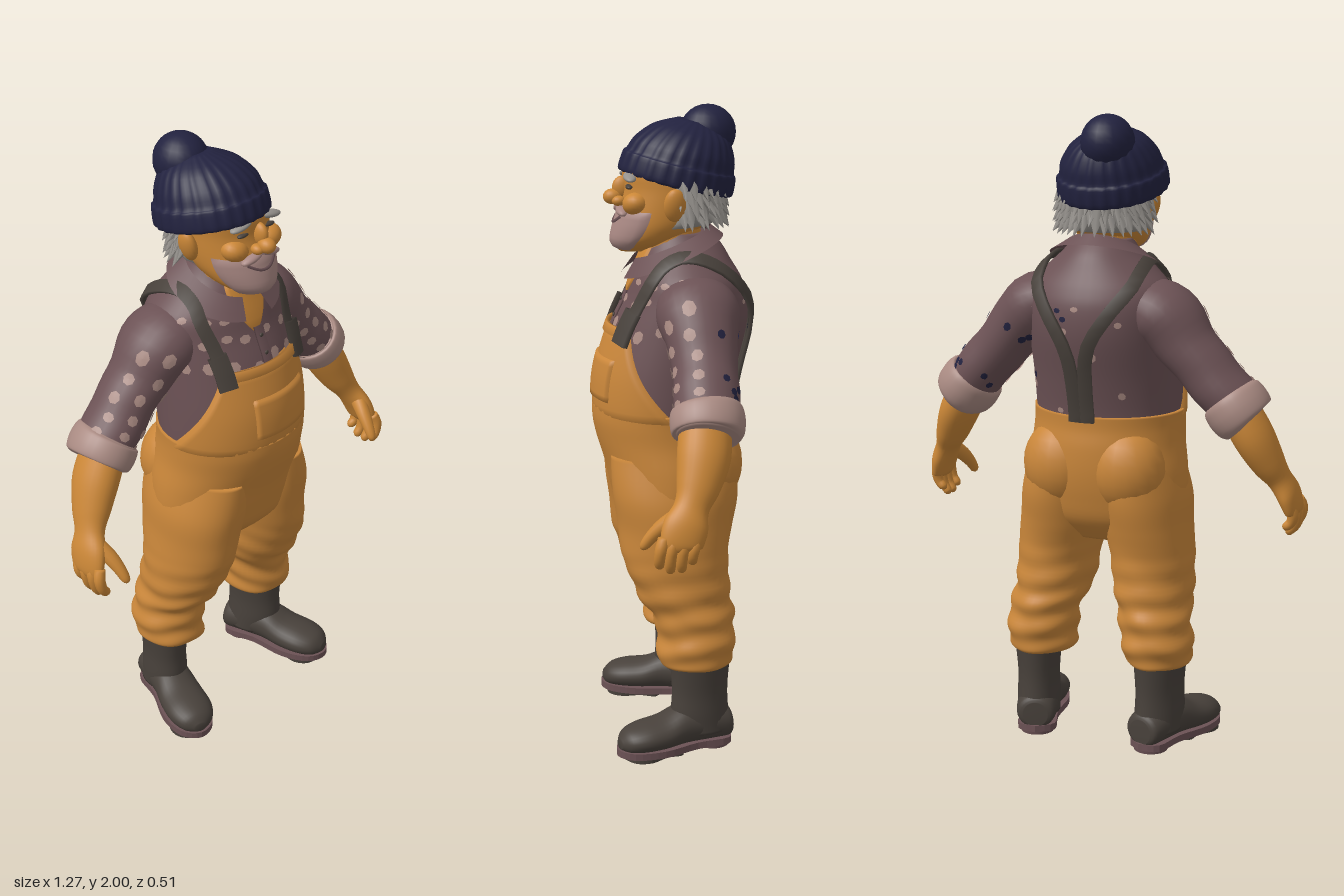
import * as THREE from 'three';
import { mergeGeometries } from 'three/addons/utils/BufferGeometryUtils.js';

const V = (x, y, z) => new THREE.Vector3(x, y, z);
const mat = (name, color, side = THREE.FrontSide) => new THREE.MeshStandardMaterial({ name, color, side });

// Surface from a function fn(u, v), optionally closed around u
function grid(fn, nu, nv, wrap) {
  const pos = [], idx = [], cols = wrap ? nu : nu + 1;
  for (let j = 0; j <= nv; j++) for (let i = 0; i < cols; i++) pos.push(...fn(i / nu, j / nv).toArray());
  for (let j = 0; j < nv; j++) for (let i = 0; i < nu; i++) {
    const k = (i + 1) % cols, a = j * cols + i, b = j * cols + k;
    idx.push(a, b, b + cols, a, b + cols, a + cols);
  }
  const g = new THREE.BufferGeometry();
  g.setAttribute('position', new THREE.Float32BufferAttribute(pos, 3));
  g.setIndex(idx);
  g.computeVertexNormals();
  return g;
}

// Smooth capped body through elliptical sections [x, y, z, radiusX, radiusZ]
function loft(secs, { up = false, seg = 28, steps = 5, wr = () => 0 } = {}) {
  const n = secs.length - 1;
  const S = v => {
    const f = Math.min(Math.max(v, 0), 1) * n, i = Math.min(Math.floor(f), n - 1), t = f - i;
    const q = k => secs[Math.min(Math.max(k, 0), n)];
    return secs[0].map((_, c) => {
      const [a, b, d, e] = [q(i - 1)[c], q(i)[c], q(i + 1)[c], q(i + 2)[c]];
      return b + 0.5 * t * (d - a + t * (2 * a - 5 * b + 4 * d - e + t * (3 * (b - d) + e - a)));
    });
  };
  const at = (u, v) => {
    const s = S(v), th = u * Math.PI * 2;
    const t = up ? V(0, 1, 0) : V(...S(v + 0.02).slice(0, 3)).sub(V(...S(v - 0.02).slice(0, 3))).normalize();
    const X = t.clone().cross(V(0, 0, 1)).normalize(), Z = X.clone().cross(t);
    const k = 1 + wr(th, s[1]);
    return V(s[0], s[1], s[2]).addScaledVector(X, s[3] * k * Math.sin(th)).addScaledVector(Z, s[4] * k * Math.cos(th));
  };
  const off = (u, v, d) => {
    const e = 0.004, du = at(u + e, v).sub(at(u - e, v));
    const dv = at(u, Math.min(v + e, 1)).sub(at(u, Math.max(v - e, 0)));
    const normal = du.cross(dv).normalize();
    return { p: at(u, v).addScaledVector(normal, d), normal };
  };
  // point on an upright body from angle and height
  const on = (th, y, d) => {
    let a = 0, b = 1;
    for (let i = 0; i < 24; i++) { const m = (a + b) / 2; if (S(m)[1] < y) a = m; else b = m; }
    return off(th / (Math.PI * 2), a, d);
  };
  const nv = n * steps;
  const geo = grid((u, v) => {
    const j = Math.round(v * (nv + 2)) - 1;
    return j < 0 ? V(...secs[0].slice(0, 3)) : j > nv ? V(...secs[n].slice(0, 3)) : at(u, j / nv);
  }, seg, nv + 2, true);
  return { geo, at, off, on };
}

// Thin panel lying on a body, with edges turned in
const panel = (body, y0, y1, range, d, nu = 20, nv = 10) => grid((u, v) => {
  const [a, b] = range(v), rim = u === 0 || u === 1 || v === 0 || v === 1;
  return body.on(a + (b - a) * u, y0 + (y1 - y0) * v, rim ? 0 : d).p;
}, nu, nv, false);

// Flat strap following [angle, height] points on a body
function ribbon(body, pts, width, d, thick = 0.012) {
  const path = new THREE.CatmullRomCurve3(pts.map(p => V(p[0], p[1], 0)));
  const P = v => { const q = path.getPoint(v); return body.on(q.x, q.y, d); };
  return grid((u, v) => {
    const { p, normal } = P(v), k = Math.round(u * 4) % 4;
    const t = P(Math.min(v + 0.02, 1)).p.sub(P(Math.max(v - 0.02, 0)).p).normalize();
    const side = t.cross(normal).normalize();
    return p.addScaledVector(side, (k === 1 || k === 2 ? 0.5 : -0.5) * width).addScaledVector(normal, (k < 2 ? 0.5 : -0.5) * thick);
  }, 4, 28, true).toNonIndexed();
}

export function createModel() {
  const root = new THREE.Group();
  root.name = 'fisherman';
  const D = THREE.DoubleSide;
  const skin = mat('skin', 0xcb8737), cloth = mat('overalls', 0xc9863a, D), shirt = mat('shirt', 0x6c5255, D);
  const pale = mat('paleSpots', 0xa98a82, D), navy = mat('navyWool', 0x22223f, D), dark = mat('darkRubber', 0x48413b, D);
  const grey = mat('greyHair', 0x96928d, D), stubbleMat = mat('stubble', 0xa88782, D);
  const add = (name, geo, m, parent = root) => {
    if (!geo.attributes.normal) geo.computeVertexNormals();
    const o = new THREE.Mesh(geo, m); o.name = name; parent.add(o); return o;
  };
  const ball = (name, m, p, s, rz = 0) => {
    const o = add(name, new THREE.SphereGeometry(1, 20, 14), m);
    o.position.set(...p); o.scale.set(...s); o.rotation.z = rz; return o;
  };
  let seed = 7;
  const rnd = () => (seed = (seed * 16807) % 2147483647) / 2147483647;

  // Shirt body
  const torso = loft([[0, 1.04, 0.02, 0.232, 0.205], [0, 1.1, 0.02, 0.235, 0.21], [0, 1.2, 0.005, 0.235, 0.215],
    [0, 1.33, -0.03, 0.235, 0.21], [0, 1.42, -0.05, 0.235, 0.19], [0, 1.48, -0.05, 0.222, 0.17],
    [0, 1.53, -0.045, 0.175, 0.145], [0, 1.58, -0.04, 0.12, 0.12], [0, 1.62, -0.03, 0.09, 0.09]], { up: true, seg: 40 });
  add('shirtBody', torso.geo, shirt);
  add('collar', grid((u, v) => {
    const th = 0.3 + u * (Math.PI * 2 - 0.6), c = Math.cos(th), s = Math.sin(th);
    return V(s * (0.11 + 0.07 * v), 1.59 - 0.05 * c - v * (0.045 + 0.015 * c), -0.005 + c * (0.12 + 0.04 * v));
  }, 36, 3, false), shirt);
  add('openNeck', panel(torso, 1.43, 1.59, v => [-0.05 - 0.55 * v, 0.05 + 0.55 * v], 0.005), skin);
  add('placket', ribbon(torso, [[0.03, 1.32], [0.03, 1.38], [0.03, 1.44]], 0.035, 0.004, 0.006), shirt);
  for (const y of [1.36, 1.41]) ball('button', dark, torso.on(0.03, y, 0.008).p.toArray(), [0.007, 0.007, 0.004]);

  // Spots laid on shirt surfaces
  const spots = (body, count, r, size, uv) => mergeGeometries(Array.from({ length: count }, (_, k) => {
    const [u0, v0] = uv(k), [du, dv] = [r / size[0], r / size[1]], turn = rnd() * 3;
    return grid((u, v) => {
      const a = u * Math.PI * 2 + turn, q = 1 - v;
      return body.off(u0 + du * q * Math.cos(a), v0 + dv * q * Math.sin(a), 0.004).p;
    }, 7, 2, true);
  }));
  add('shirtSpots', spots(torso, 30, 0.019, [1.4, 0.85], k =>
    [(k % 10 - 4.5) * 0.05 + (rnd() - 0.5) * 0.02, 0.36 + Math.floor(k / 10) * 0.12 + rnd() * 0.05]), pale);
  add('backSpots', spots(torso, 16, 0.012, [1.4, 0.85], () => [0.28 + rnd() * 0.34, 0.12 + rnd() * 0.42]), pale);
  add('darkBackSpots', spots(torso, 7, 0.011, [1.4, 0.85], () => [0.28 + rnd() * 0.2, 0.15 + rnd() * 0.4]), navy);

  // Overalls: seat, bib, pocket
  add('overallsSeat', loft([[0, 0.67, 0, 0.19, 0.1], [0, 0.74, 0, 0.262, 0.165], [0, 0.82, 0, 0.268, 0.19],
    [0, 0.9, 0.003, 0.262, 0.205], [0, 0.98, 0.015, 0.247, 0.217], [0, 1.04, 0.025, 0.243, 0.219],
    [0, 1.085, 0.025, 0.243, 0.219]], { up: true, seg: 40 }).geo, cloth);
  const half = v => 1.7 - 1.5 * v + 0.45 * v * v;
  add('bib', panel(torso, 1.05, 1.335, v => [-half(v), half(v)], 0.014, 32, 14), cloth);
  add('bibPocket', panel(torso, 1.1, 1.25, () => [-0.38, 0.62], 0.021), cloth);
  add('bibHem', ribbon(torso, [[-0.62, 1.322], [0, 1.322], [0.62, 1.322]], 0.03, 0.016), cloth);

  for (const s of [1, -1]) {
    const side = s > 0 ? 'left' : 'right';
    // Straps meeting in a Y on the back
    add(side + 'Strap', ribbon(torso, [[0.62 * s, 1.33], [0.68 * s, 1.42], [0.88 * s, 1.5], [1.25 * s, 1.545], [1.8 * s, 1.545],
      [2.3 * s, 1.5], [2.75 * s, 1.4], [3.02 * s, 1.28], [3.06 * s, 1.16], [3.06 * s, 1.07]], 0.042, 0.013), dark);
    add(side + 'Buckle', ribbon(torso, [[0.62 * s, 1.29], [0.63 * s, 1.33], [0.66 * s, 1.39]], 0.058, 0.022, 0.02), dark);

    // Trouser leg with bunched folds
    const folds = (th, y) => {
      const low = Math.min(Math.max((0.66 - y) / 0.2, 0), 1);
      return 0.012 * Math.sin(3 * th + y * 22) + low * (0.04 * Math.sin(y * 75 + 1.6 * Math.sin(th + s) + s * Math.cos(2 * th)) + 0.02 * Math.sin(5 * th + y * 40));
    };
    add(side + 'TrouserLeg', loft([[0.2, 0.275, -0.055, 0.085, 0.1], [0.2, 0.29, -0.055, 0.107, 0.115], [0.2, 0.34, -0.06, 0.113, 0.122],
      [0.19, 0.42, -0.055, 0.113, 0.125], [0.172, 0.5, -0.025, 0.124, 0.145], [0.16, 0.62, 0, 0.13, 0.165], [0.145, 0.72, 0, 0.136, 0.18],
      [0.135, 0.82, 0, 0.136, 0.195], [0.12, 0.94, 0, 0.115, 0.195]].map(a => [a[0] * s, ...a.slice(1)]),
    { up: true, seg: 44, steps: 8, wr: folds }).geo, cloth);
    ball(side + 'Buttock', cloth, [0.11 * s, 0.91, -0.1], [0.125, 0.14, 0.115]);

    // Rubber boot, turned outward
    const boot = new THREE.Group();
    boot.name = side + 'Boot';
    boot.position.set(0.213 * s, 0, -0.07);
    boot.rotation.y = 0.3 * s;
    root.add(boot);
    add('bootShaft', loft([[0, 0.06, -0.01, 0.07, 0.09], [0, 0.12, 0, 0.07, 0.095], [0, 0.2, 0, 0.068, 0.092],
      [0, 0.31, 0, 0.078, 0.1]], { up: true }).geo, dark, boot);
    add('bootFoot', loft([[0, -0.1, -0.07, 0.04, 0.04], [0, -0.085, -0.075, 0.062, 0.055], [0, -0.02, -0.085, 0.068, 0.065],
      [0, 0.06, -0.085, 0.068, 0.065], [0, 0.13, -0.068, 0.076, 0.052], [0, 0.2, -0.062, 0.076, 0.046],
      [0, 0.25, -0.056, 0.056, 0.036], [0, 0.275, -0.05, 0.02, 0.015]], { up: true }).geo.rotateX(Math.PI / 2), dark, boot);
    const outline = new THREE.Shape(new THREE.SplineCurve([[0, -0.108], [0.06, -0.075], [0.058, 0.03], [0.078, 0.15], [0.058, 0.245], [0, 0.282],
      [-0.058, 0.245], [-0.078, 0.15], [-0.058, 0.03], [-0.06, -0.075], [0, -0.108]].map(p => new THREE.Vector2(p[0], -p[1]))).getPoints(40));
    const slab = (d, y) => new THREE.ExtrudeGeometry(outline, { depth: d, bevelEnabled: false }).rotateX(-Math.PI / 2).translate(0, y, 0);
    add('sole', slab(0.022, 0.012), shirt, boot);
    add('treadFront', slab(0.012, 0).scale(0.92, 1, 0.5).translate(0, 0, 0.12), dark, boot);
    add('heel', new THREE.CylinderGeometry(0.056, 0.054, 0.014, 24).translate(0, 0.007, -0.045), shirt, boot);

    // Sleeve and rolled cuff
    const X = list => list.map(a => [a[0] * s, ...a.slice(1)]);
    const sleeve = loft(X([[0.13, 1.43, -0.06, 0.075, 0.11], [0.215, 1.395, -0.06, 0.105, 0.125], [0.31, 1.29, -0.065, 0.088, 0.1],
      [0.395, 1.195, -0.062, 0.085, 0.098], [0.455, 1.13, -0.055, 0.084, 0.095]]),
    { wr: (th, y) => 0.02 * Math.sin(y * 60 + 2 * Math.sin(th)) });
    add(side + 'Sleeve', sleeve.geo, shirt);
    add(side + 'SleeveSpots', spots(sleeve, 20, 0.018, [0.6, 0.46], k =>
      [(k % 4) * 0.13 - 0.2 + (rnd() - 0.5) * 0.05, 0.32 + Math.floor(k / 4) * 0.13 + (k % 2) * 0.05]), pale);
    if (s > 0) add('darkSleeveSpots', spots(sleeve, 12, 0.012, [0.6, 0.46], () => [0.35 + rnd() * 0.35, 0.35 + rnd() * 0.55]), navy);
    add(side + 'Cuff', loft(X([[0.428, 1.16, -0.058, 0.085, 0.098], [0.436, 1.15, -0.058, 0.096, 0.108], [0.458, 1.122, -0.056, 0.1, 0.112],
      [0.478, 1.095, -0.054, 0.094, 0.106], [0.484, 1.088, -0.053, 0.075, 0.09]])).geo, pale);

    // Forearm, palm, fingers and thumb
    add(side + 'Forearm', loft(X([[0.45, 1.13, -0.05, 0.06, 0.075], [0.5, 1.04, -0.04, 0.062, 0.08], [0.54, 0.96, -0.018, 0.052, 0.066],
      [0.57, 0.905, 0.005, 0.038, 0.052], [0.595, 0.855, 0.025, 0.034, 0.066], [0.61, 0.805, 0.04, 0.026, 0.062], [0.612, 0.785, 0.042, 0.015, 0.045]])).geo, skin);
    [0.09, 0.058, 0.025, -0.006].forEach((z, i) => {
      const len = [0.075, 0.09, 0.088, 0.065][i];
      add(side + 'Finger', loft(X([[0.608, 0.825, z, 0.016, 0.018], [0.618, 0.795, z + 0.01, 0.018, 0.018], [0.612, 0.805 - len * 0.6, z + 0.014, 0.016, 0.016],
        [0.596, 0.815 - len, z + 0.012, 0.014, 0.014], [0.59, 0.807 - len, z + 0.01, 0.005, 0.005]]), { seg: 10, steps: 3 }).geo, skin);
    });
    add(side + 'Thumb', loft(X([[0.58, 0.885, 0.04, 0.024, 0.028], [0.565, 0.85, 0.085, 0.024, 0.024], [0.555, 0.815, 0.12, 0.019, 0.019],
      [0.55, 0.785, 0.142, 0.014, 0.014], [0.549, 0.775, 0.147, 0.005, 0.005]]), { seg: 12, steps: 3 }).geo, skin);

    // Face details on each side
    ball(side + 'Ear', skin, [0.142 * s - 0.006, 1.715, 0], [0.022, 0.052, 0.034], -0.25 * s);
    ball(side + 'Cheek', skin, [0.066 * s, 1.712, 0.11], [0.045, 0.035, 0.042], 0.3 * s);
    ball(side + 'Brow', grey, [0.058 * s, 1.793, 0.128], [0.042, 0.011, 0.02], -0.2 * s);
    ball(side + 'Eye', dark, [0.052 * s, 1.763, 0.13], [0.022, 0.007, 0.011], -0.1 * s);
    ball(side + 'Nostril', skin, [0.022 * s, 1.717, 0.158], [0.018, 0.016, 0.022]);
    ball(side + 'Moustache', stubbleMat, [0.034 * s, 1.69, 0.15], [0.042, 0.013, 0.02], -0.25 * s);
  }

  // Head and neck
  const head = loft([[0, 1.562, 0.11, 0.035, 0.045], [0, 1.59, 0.08, 0.085, 0.1], [-0.002, 1.63, 0.04, 0.114, 0.135],
    [-0.004, 1.68, 0.01, 0.128, 0.15], [-0.006, 1.75, -0.005, 0.132, 0.148], [-0.01, 1.82, -0.01, 0.13, 0.15], [-0.02, 1.88, -0.03, 0.09, 0.1]], { up: true, seg: 36 });
  add('head', head.geo, skin);
  add('neck', new THREE.CylinderGeometry(0.09, 0.1, 0.2, 24).translate(0, 1.56, -0.005), skin);
  add('beardStubble', panel(head, 1.567, 1.69, v => [-1.25 + 0.1 * v, 1.25 - 0.1 * v], 0.005), stubbleMat);
  add('mouth', ribbon(head, [[-0.42, 1.672], [-0.2, 1.655], [0, 1.65], [0.2, 1.655], [0.42, 1.672]], 0.008, 0.006, 0.006), shirt);
  ball('noseBridge', skin, [0, 1.755, 0.145], [0.019, 0.036, 0.032]);
  ball('noseTip', skin, [0, 1.728, 0.175], [0.025, 0.024, 0.03]);

  // Shaggy hair around the back
  add('hairBase', panel(head, 1.64, 1.8, () => [1.75, Math.PI * 2 - 1.75], 0.014), grey);
  const tufts = [];
  for (let row = 0; row < 4; row++) for (let i = 0; i < 17; i++) {
    const th = 1.62 + (i + (row % 2) * 0.5) * 0.184 + (rnd() - 0.5) * 0.1, y = 1.665 + row * 0.03;
    const dir = V(Math.sin(th) * 0.6, -0.6 - rnd() * 0.3, Math.cos(th) * 0.5).normalize();
    const g = new THREE.ConeGeometry(0.024, 0.07, 5).applyQuaternion(new THREE.Quaternion().setFromUnitVectors(V(0, 1, 0), dir));
    tufts.push(g.translate(Math.sin(th) * 0.148 - 0.008, y, Math.cos(th) * 0.155 - 0.012));
  }
  add('hairTufts', mergeGeometries(tufts), grey);

  // Ribbed knit hat with a slouched top
  const rib = th => 0.016 * Math.cos(th * 26);
  const hat = add('knitHat', loft([[0, -0.005, 0, 0.155, 0.165], [0, 0.005, 0, 0.168, 0.18], [0, 0.055, 0, 0.167, 0.177], [0, 0.068, 0, 0.157, 0.168],
    [0, 0.11, -0.005, 0.145, 0.155], [-0.005, 0.16, -0.015, 0.11, 0.118], [-0.01, 0.195, -0.025, 0.05, 0.06]],
  { up: true, seg: 104, steps: 4, wr: rib }).geo, navy);
  hat.position.set(-0.03, 1.765, -0.02);
  hat.rotation.x = -0.25;
  ball('hatTop', navy, [-0.055, 1.915, -0.125], [0.082, 0.085, 0.088]);

  return root;
}
